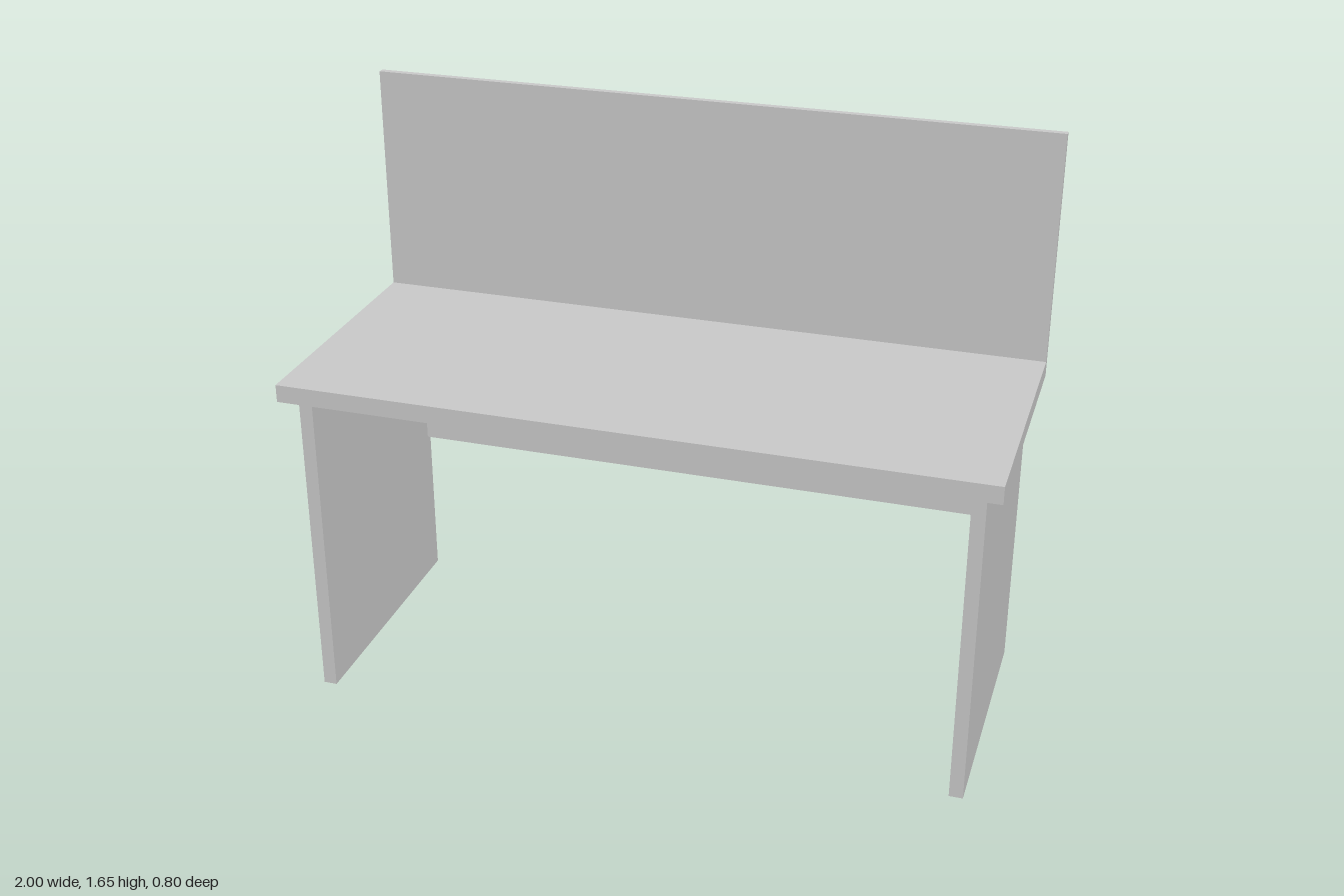
import * as THREE from 'three';

const material = new THREE.MeshStandardMaterial({ color: 0xcccccc, flatShading: true });

// Board spanning the given minimum and maximum corners
function board(name, [x0, y0, z0], [x1, y1, z1]) {
  const mesh = new THREE.Mesh(new THREE.BoxGeometry(x1 - x0, y1 - y0, z1 - z0), material);
  mesh.position.set((x0 + x1) / 2, (y0 + y1) / 2, (z0 + z1) / 2);
  mesh.name = name;
  return mesh;
}

export function createModel() {
  const group = new THREE.Group();
  group.name = 'deskWithScreen';

  const back = -0.4, thin = 0.02;
  const under = 0.937, top = 0.988;
  const legInner = 0.916, legOuter = 0.955;

  // Worktop
  group.add(board('worktop', [-1, under, back], [1, top, 0.4]));

  // Upright screen, flush with the back edge
  group.add(board('backScreen', [-1, top, back], [1, 1.655, back + thin]));

  // Panel between the legs, below the worktop
  group.add(board('modestyPanel', [-legInner, 0.468, back], [legInner, under, back + thin]));

  // Slab legs
  group.add(board('leftLeg', [legInner, 0, back], [legOuter, under, 0.36]));
  group.add(board('rightLeg', [-legOuter, 0, back], [-legInner, under, 0.36]));

  return group;
}
